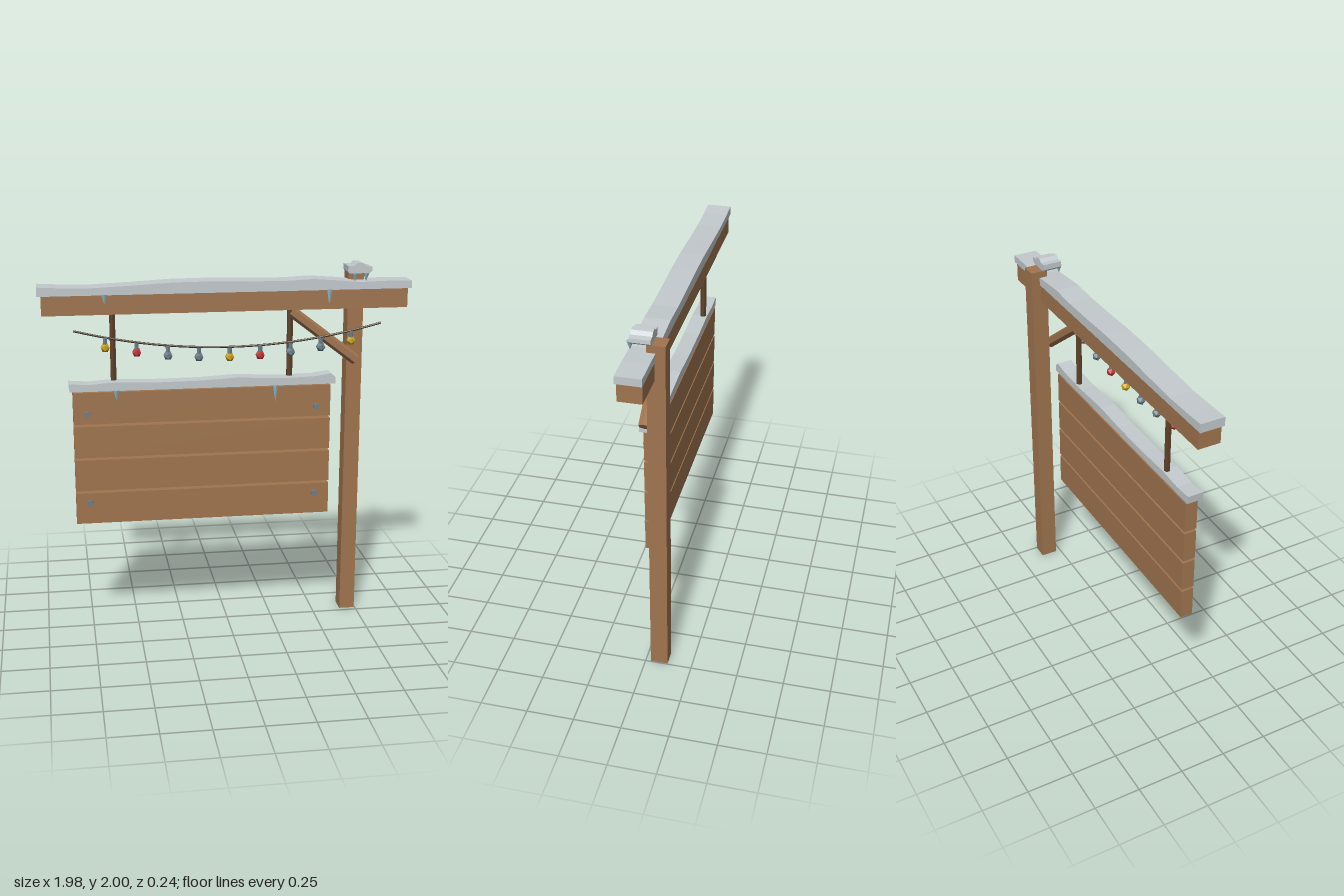
import * as THREE from 'three';

const mat = (name, color, extra = {}) =>
  Object.assign(new THREE.MeshStandardMaterial({ color, flatShading: true, ...extra }), { name });

export function createModel() {
  const wood = mat('wood', 0xa0754f);
  const darkWood = mat('dark wood', 0x5e4229);
  const cordMat = mat('cord', 0x433620);
  const snow = mat('snow', 0xc3cacd);
  const ice = mat('ice', 0x93bcc8);
  const steel = mat('steel', 0x6c7f8a);
  const yellow = mat('yellow bulb', 0xc9a21c);
  const red = mat('red bulb', 0xbd3434);

  const root = new THREE.Group();
  root.name = 'hangingSign';
  const add = (name, geo, material, x = 0, y = 0, z = 0, parent = root) => {
    const m = new THREE.Mesh(geo, material);
    m.name = name;
    m.position.set(x, y, z);
    parent.add(m);
    return m;
  };
  // Box given by its limits on each axis
  const box = (name, material, [x0, x1], [y0, y1], [z0, z1]) =>
    add(name, new THREE.BoxGeometry(x1 - x0, y1 - y0, z1 - z0), material,
      (x0 + x1) / 2, (y0 + y1) / 2, (z0 + z1) / 2);
  // Slab of snow: an uneven outline pushed along z
  const snowSlab = (name, outline, z0, z1) => {
    const shape = new THREE.Shape(outline.map(([x, y]) => new THREE.Vector2(x, y)));
    add(name, new THREE.ExtrudeGeometry(shape, { depth: z1 - z0, bevelEnabled: false }), snow, 0, 0, z0);
  };

  // Post, beam and diagonal brace
  box('post', wood, [0.66, 0.745], [0, 1.94], [-0.12, -0.028]);
  box('beam', wood, [-0.97, 0.965], [1.76, 1.865], [-0.068, 0.053]);
  const a = new THREE.Vector2(0.345, 1.745), b = new THREE.Vector2(0.705, 1.47);
  const braceGeo = new THREE.CylinderGeometry(0.03, 0.03, a.distanceTo(b), 6).rotateY(Math.PI / 6);
  const brace = add('brace', braceGeo, wood, (a.x + b.x) / 2, (a.y + b.y) / 2, -0.002);
  brace.rotation.z = Math.atan2(b.y - a.y, b.x - a.x) + Math.PI / 2;

  // Sign planks and hangers
  for (let i = 0; i < 4; i++) {
    const top = 1.345 - i * 0.185;
    box('plank', wood, [-0.825, 0.56], [top - 0.171, top], [-0.027, 0.041]);
  }
  for (const x of [-0.605, 0.34]) {
    add('hanger', new THREE.CylinderGeometry(0.017, 0.017, 0.42, 6), darkWood, x, 1.555, -0.004);
  }

  // Bolts on the outer planks
  for (const x of [-0.75, 0.48]) for (const y of [1.23, 0.738]) {
    add('bolt', new THREE.CylinderGeometry(0.016, 0.016, 0.022, 8).rotateX(Math.PI / 2), steel, x, y, 0.05);
  }

  // Snow on the beam, sign and post
  snowSlab('beamSnow', [[-0.99, 1.862], [0.985, 1.862], [0.985, 1.902], [0.85, 1.904], [0.7, 1.9],
    [0.58, 1.912], [0.45, 1.922], [0.3, 1.915], [0.1, 1.917], [-0.1, 1.922], [-0.3, 1.92],
    [-0.5, 1.909], [-0.72, 1.9], [-0.88, 1.904], [-0.99, 1.91]], -0.073, 0.057);
  snowSlab('signSnow', [[-0.84, 1.355], [0.582, 1.355], [0.582, 1.39], [0.56, 1.412], [0.46, 1.398],
    [0.28, 1.394], [0.05, 1.406], [-0.15, 1.396], [-0.4, 1.394], [-0.6, 1.402],
    [-0.74, 1.392], [-0.845, 1.4]], -0.027, 0.057);
  snowSlab('postSnow', [[0.645, 1.945], [0.755, 1.945], [0.77, 1.958], [0.768, 1.978], [0.738, 1.982],
    [0.72, 1.998], [0.69, 2], [0.672, 1.984], [0.638, 1.985], [0.638, 1.955]], -0.057, 0.047);

  // Icicles: x, top, length
  const icicles = [[-0.645, 1.865, 0.06], [0.54, 1.865, 0.095], [-0.595, 1.358, 0.063],
    [0.255, 1.358, 0.093], [0.675, 1.947, 0.045], [0.735, 1.947, 0.045]];
  for (const [x, top, len] of icicles) {
    add('icicle', new THREE.ConeGeometry(0.017, len, 6).rotateX(Math.PI), ice, x, top - len / 2, 0.05);
  }

  // Sagging cord with nine bulbs
  const lights = new THREE.Group();
  lights.name = 'stringLights';
  lights.position.z = 0.097;
  root.add(lights);
  const sag = x => 1.582 + 0.106 * (x / 0.81) ** 2;
  const points = Array.from({ length: 13 }, (_, i) => {
    const x = -0.81 + i * 0.135;
    return new THREE.Vector3(x, sag(x), 0);
  });
  add('cord', new THREE.TubeGeometry(new THREE.CatmullRomCurve3(points), 24, 0.006, 6), cordMat,
    0, 0, 0, lights);
  const colours = [yellow, red, steel, steel];
  for (let i = 0; i < 9; i++) {
    const x = (i - 4) * 0.1625;
    add('socket', new THREE.CylinderGeometry(0.012, 0.012, 0.04, 6), steel, x, sag(x) - 0.022, 0, lights);
    add('bulb', new THREE.IcosahedronGeometry(0.026, 0), colours[i % 4], x, sag(x) - 0.053, 0, lights);
  }
  return root;
}
